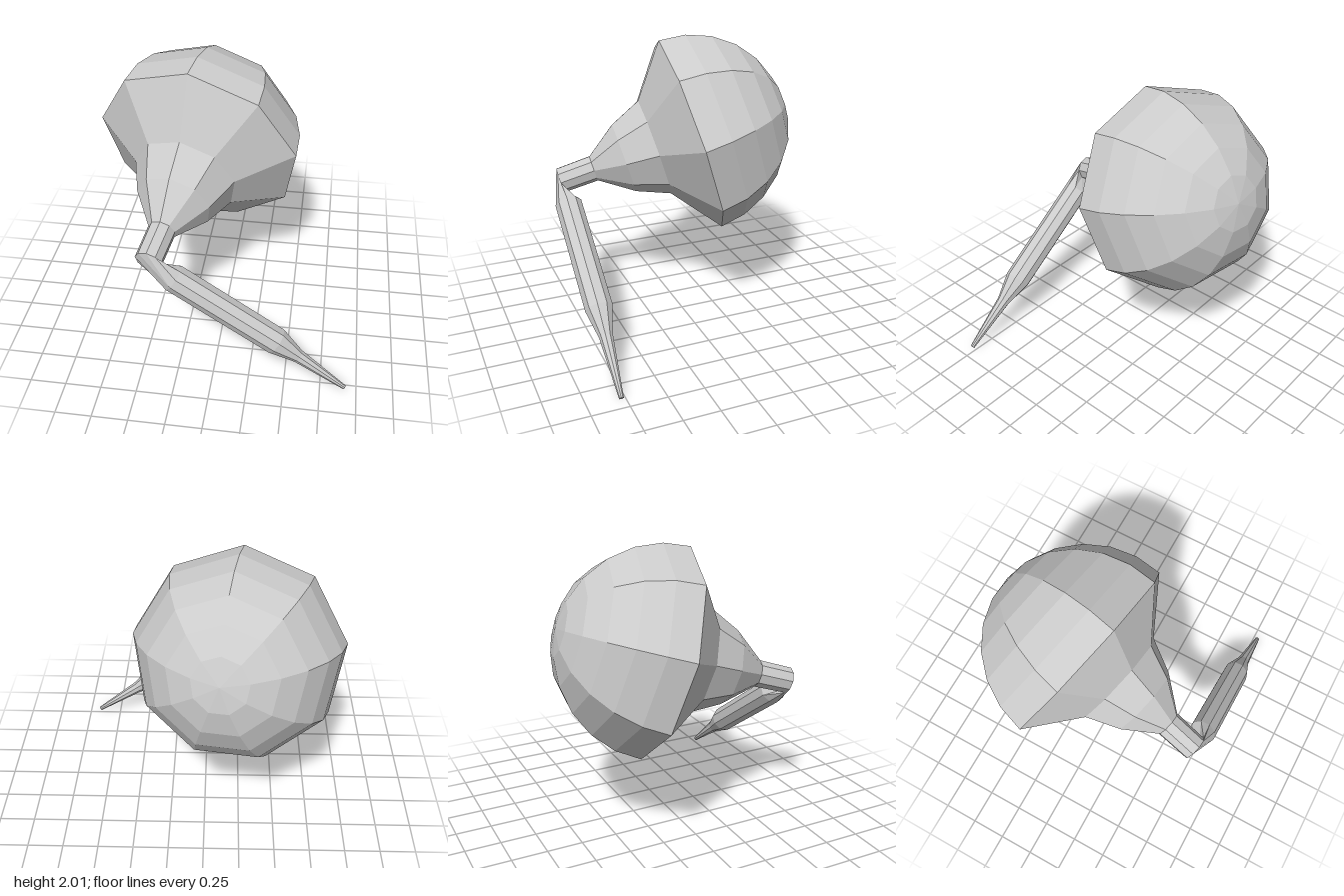
import * as THREE from 'three';

const SIDES = 9;
const V = (x, y, z) => new THREE.Vector3(x, y, z);
const material = new THREE.MeshStandardMaterial({ color: 0xcccccc, flatShading: true });

// Skin a list of nine-sided rings { c: centre, u, v: ring axes, r: radius }
function skin(name, rings) {
  const pos = [], index = [];
  for (const { c, u, v, r } of rings) {
    for (let j = 0; j < SIDES; j++) {
      const a = (j / SIDES) * Math.PI * 2;
      const p = c.clone().addScaledVector(u, r * Math.cos(a)).addScaledVector(v, r * Math.sin(a));
      pos.push(p.x, p.y, p.z);
    }
  }
  for (let i = 0; i < rings.length - 1; i++) {
    for (let j = 0; j < SIDES; j++) {
      const k = (j + 1) % SIDES;
      const a = i * SIDES + j, b = i * SIDES + k, c = a + SIDES, d = b + SIDES;
      if (rings[i].r > 0) index.push(a, b, d);
      if (rings[i + 1].r > 0) index.push(a, d, c);
      else if (rings[i].r > 0) index[index.length - 1] = c;
    }
  }
  const geo = new THREE.BufferGeometry();
  geo.setAttribute('position', new THREE.Float32BufferAttribute(pos, 3));
  geo.setIndex(index);
  const flat = geo.toNonIndexed();
  flat.computeVertexNormals();
  const mesh = new THREE.Mesh(flat, material);
  mesh.name = name;
  return mesh;
}

export function createModel() {
  const group = new THREE.Group();
  group.name = 'bentStemBulb';

  // Tilted main axis through the bulb and neck
  const centre = V(-0.23, 1.285, -0.145);
  const axis = V(-0.181, -0.298, 0.937).normalize();
  const u = V(-0.02, 0.685, 0.215);
  u.addScaledVector(axis, -u.dot(axis)).normalize();
  const v = axis.clone().cross(u);
  const onAxis = (t, r) => ({ c: centre.clone().addScaledVector(axis, t), u, v, r });

  // Hemispherical bulb, from its back pole to the rim
  const R = 0.725;
  const bulb = [onAxis(-R, 0)];
  for (let deg = 75; deg >= 0; deg -= 15) {
    const a = THREE.MathUtils.degToRad(deg);
    bulb.push(onAxis(-R * Math.sin(a), R * Math.cos(a)));
  }
  group.add(skin('bulb', bulb));

  // Tapering neck and thin stem
  const stemEnd = onAxis(0.98, 0.092);
  group.add(skin('neck', [onAxis(0, R), onAxis(0.27, 0.365), onAxis(0.5, 0.263), onAxis(0.73, 0.095), stemEnd]));

  // Spike that bends off the stem and narrows to a point
  const dir = V(0.817, -0.577, 0.008).normalize();
  const turn = new THREE.Quaternion().setFromUnitVectors(axis, dir);
  const su = u.clone().applyQuaternion(turn), sv = v.clone().applyQuaternion(turn);
  const onSpike = (x, y, z, r) => ({ c: V(x, y, z), u: su, v: sv, r });
  group.add(skin('spike', [
    stemEnd,
    onSpike(-0.25, 0.865, 0.763, 0.094),
    onSpike(0.43, 0.385, 0.763, 0.094),
    onSpike(0.585, 0.265, 0.768, 0.047),
    onSpike(0.918, 0.014, 0.78, 0.016),
    onSpike(0.918, 0.014, 0.78, 0),
  ]));
  return group;
}
